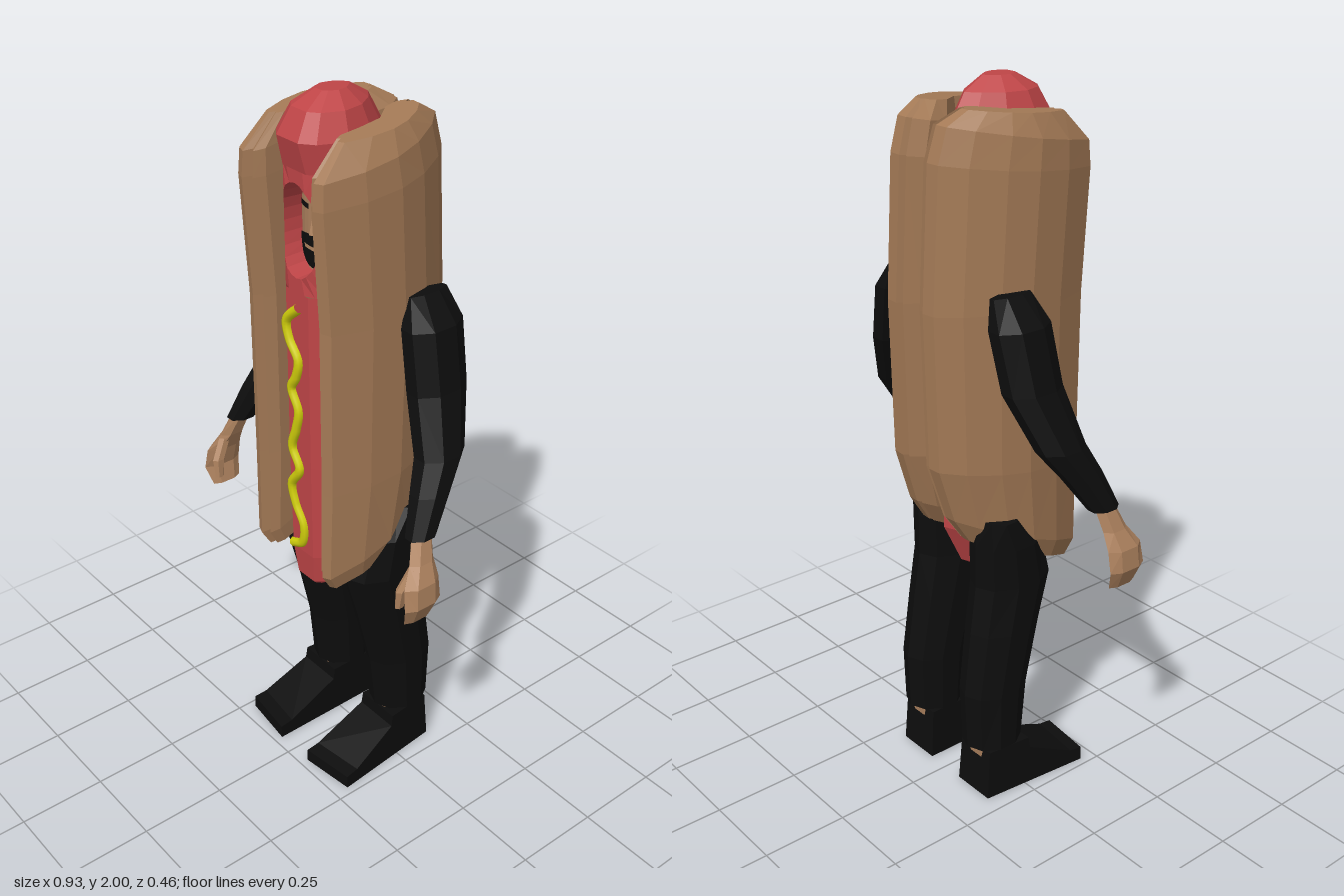
import * as THREE from 'three';

const mat = (name, color, extra = {}) => {
  const m = new THREE.MeshStandardMaterial({ color, flatShading: true, ...extra });
  m.name = name;
  return m;
};

// Skin over a stack of equal-length closed rings of [x, y, z], optionally capped
function loft(rings, { caps = true, skip = () => false } = {}) {
  const pos = [];
  const tri = (...pts) => pts.forEach((p) => pos.push(...p));
  const n = rings[0].length;
  for (let j = 0; j < rings.length - 1; j++) {
    for (let i = 0; i < n; i++) {
      if (skip(i, j)) continue;
      const k = (i + 1) % n;
      const a = rings[j][i], b = rings[j][k], c = rings[j + 1][k], d = rings[j + 1][i];
      tri(a, d, c);
      tri(a, c, b);
    }
  }
  if (caps) {
    const mid = (r) => [0, 1, 2].map((q) => r.reduce((s, p) => s + p[q], 0) / n);
    const lo = rings[0], hi = rings[rings.length - 1];
    for (let i = 0; i < n; i++) {
      const k = (i + 1) % n;
      tri(mid(lo), lo[i], lo[k]);
      tri(mid(hi), hi[k], hi[i]);
    }
  }
  const g = new THREE.BufferGeometry();
  g.setAttribute('position', new THREE.Float32BufferAttribute(pos, 3));
  g.computeVertexNormals();
  return g;
}

// Limb from horizontal ovals: [y, centreX, centreZ, radiusX, radiusZ]
const limb = (rows, sides = 8) => loft(rows.map(([y, cx, cz, rx, rz]) =>
  Array.from({ length: sides }, (_, i) => {
    const a = ((i + 0.5) / sides) * Math.PI * 2;
    return [cx + rx * Math.cos(a), y, cz + rz * Math.sin(a)];
  })));

// One [x, z] outline repeated up the body: rows of [y, slant, scale, shiftZ]
const stack = (outline, cx, cz, rows) => rows.map(([y, slant, s, dz]) =>
  outline.map(([x, z]) => {
    const zz = cz + (z - cz) * s + dz;
    return [cx + (x - cx) * s, y - slant * zz, zz];
  }));

// Mirrored copy of a triangle soup, with corner order restored
function mirrored(geo) {
  const g = geo.clone();
  const p = g.attributes.position;
  for (let i = 0; i < p.count; i += 3) {
    const v = [0, 2, 1].map((k) => new THREE.Vector3().fromBufferAttribute(geo.attributes.position, i + k));
    v.forEach((q, k) => p.setXYZ(i + k, -q.x, q.y, q.z));
  }
  g.computeVertexNormals();
  return g;
}

export function createModel() {
  const model = new THREE.Group();
  model.name = 'hotDogCostume';
  const bunTan = mat('bunTan', 0xa47a56);
  const red = mat('sausageRed', 0xbf4547, { side: THREE.DoubleSide });
  const skin = mat('skin', 0xb08460);
  const black = mat('black', 0x0d0d0d);
  const yellow = mat('mustardYellow', 0xd2d00c, { flatShading: false });

  const add = (name, geo, material) => {
    const m = new THREE.Mesh(geo, material);
    m.name = name;
    model.add(m);
    return m;
  };
  const pair = (name, geo, material) => {
    add('left' + name, geo, material);
    add('right' + name, mirrored(geo), material);
  };

  // Bun halves, with a groove along the front and back lips
  const bunOutline = [
    [0.21, 0], [0.203, 0.1], [0.168, 0.205], [0.14, 0.215], [0.127, 0.19], [0.115, 0.2],
    [0.1, 0.17], [0.1, 0.08], [0.09, -0.03], [0.02, -0.12], [0.012, -0.18], [0.035, -0.222],
    [0.043, -0.2], [0.055, -0.228], [0.095, -0.225], [0.145, -0.17], [0.19, -0.085],
  ];
  pair('Bun', loft(stack(bunOutline, 0.12, 0, [
    [0.745, 0.4, 0.7, 0.04], [0.8, 0.4, 0.87, 0.03], [1.0, 0.1, 0.97, 0.005], [1.45, 0, 1, 0],
    [1.8, 0.12, 1, 0.02], [1.88, 0.18, 0.93, 0.03], [1.935, 0.1, 0.62, 0.02],
  ])), bunTan);

  // Sausage body, left open in front of the face
  const sausageOutline = [
    [0.118, 0.07], [0.085, 0.15], [0.045, 0.18], [-0.045, 0.18], [-0.085, 0.15], [-0.118, 0.07],
    [-0.1, -0.02], [-0.05, -0.09], [0, -0.13], [0.05, -0.09], [0.1, -0.02],
  ];
  add('sausage', loft(stack(sausageOutline, 0, 0.05, [
    [0.615, 0.15, 0.35, 0.05], [0.66, 0.25, 0.75, 0.02], [0.76, 0.3, 0.97, 0], [1.0, 0, 1, 0],
    [1.5, 0, 1, 0], [1.82, 0, 1, 0], [1.9, 0, 0.92, 0.03], [1.965, 0, 0.68, 0.025], [2.0, 0, 0.3, 0.015],
  ]), { skip: (i, j) => j === 4 && i >= 1 && i <= 3 }), red);

  // Collar from the rectangular gap to the oval face opening, then inwards
  const frontZ = (x) => 0.18 - Math.max(0, Math.abs(x) - 0.045) * 0.75;
  const around = (f) => Array.from({ length: 24 }, (_, i) => {
    const a = (i / 24) * Math.PI * 2;
    return f(Math.cos(a), -Math.sin(a));
  });
  const clamp = (v) => THREE.MathUtils.clamp(v * Math.SQRT2, -1, 1);
  add('faceOpening', loft([
    around((c, s) => [0.085 * clamp(c), 1.66 + 0.16 * clamp(s), frontZ(0.085 * clamp(c))]),
    around((c, s) => [0.076 * c, 1.662 + 0.125 * s, frontZ(0.076 * c)]),
    around((c, s) => [0.072 * c, 1.662 + 0.12 * s, 0.09]),
  ], { caps: false }), red);

  // Face: thin curved patches over one another
  const patch = (name, x0, w, top, bottom, lift, material) => {
    const g = new THREE.PlaneGeometry(w, 1, 8, 1);
    const p = g.attributes.position;
    for (let i = 0; i < p.count; i++) {
      const x = p.getX(i) + x0;
      p.setXYZ(i, x, p.getY(i) > 0 ? top(x) : bottom(x), 0.125 - 4 * x * x + lift);
    }
    g.computeVertexNormals();
    add(name, g, material);
  };
  patch('face', 0, 0.17, () => 1.8, () => 1.52, 0, skin);
  patch('beard', 0, 0.13, (x) => 1.638 - 3 * x * x, (x) => 1.55 + 10 * x * x, 0.004, black);
  patch('mouth', 0, 0.064, () => 1.609, () => 1.599, 0.007, skin);
  for (const s of [1, -1]) patch('eyebrow', s * 0.036, 0.044, () => 1.716, () => 1.702, 0.004, black);
  const nose = add('nose', new THREE.ConeGeometry(0.013, 0.05, 4), skin);
  nose.position.set(0, 1.665, 0.126);

  // Mustard squiggle
  const squiggle = [
    [0.01, 1.46], [-0.04, 1.41], [-0.03, 1.36], [0.005, 1.31], [-0.005, 1.26], [-0.026, 1.22],
    [0.002, 1.16], [-0.01, 1.1], [-0.028, 1.04], [0.002, 0.98], [-0.035, 0.92], [-0.022, 0.86],
    [0.01, 0.8], [0, 0.74], [-0.045, 0.715],
  ].map(([x, y]) => new THREE.Vector3(x, y, 0.182 - Math.max(0, 0.95 - y) * 0.03));
  add('mustard', new THREE.TubeGeometry(new THREE.CatmullRomCurve3(squiggle), 80, 0.014, 8), yellow);

  // Arms and hands
  pair('Sleeve', limb([
    [0.94, 0.39, 0.095, 0.035, 0.047], [1.04, 0.362, 0.04, 0.046, 0.062], [1.12, 0.335, -0.01, 0.053, 0.074],
    [1.27, 0.272, -0.052, 0.057, 0.09], [1.43, 0.235, -0.064, 0.055, 0.092], [1.505, 0.205, -0.07, 0.02, 0.065],
  ]), black);
  pair('Hand', limb([
    [0.715, 0.428, 0.135, 0.012, 0.045], [0.77, 0.447, 0.135, 0.018, 0.06], [0.83, 0.437, 0.132, 0.024, 0.058],
    [0.88, 0.415, 0.115, 0.022, 0.04], [0.96, 0.388, 0.092, 0.022, 0.032],
  ], 6), skin);
  pair('Thumb', limb([
    [0.755, 0.402, 0.175, 0.01, 0.014], [0.81, 0.408, 0.172, 0.014, 0.02], [0.87, 0.418, 0.14, 0.014, 0.02],
  ], 6), skin);

  // Trousers and ankles
  pair('Trouser', limb([
    [0.158, 0.133, -0.065, 0.078, 0.088], [0.33, 0.132, -0.06, 0.08, 0.102], [0.52, 0.128, -0.025, 0.086, 0.112],
    [0.66, 0.126, 0.005, 0.088, 0.122], [0.78, 0.126, -0.012, 0.087, 0.105], [0.865, 0.126, -0.055, 0.08, 0.055],
  ], 10), black);
  pair('Ankle', limb([[0.12, 0.133, -0.058, 0.06, 0.07], [0.17, 0.133, -0.06, 0.065, 0.075]]), skin);

  // Shoes: side profile widened towards the toe and narrowed at the top
  const profile = [
    [-0.13, 0], [0.225, 0], [0.225, 0.04], [0.185, 0.045], [0.02, 0.115], [0.015, 0.15], [-0.12, 0.15],
  ].map(([z, y]) => new THREE.Vector2(-z, y));
  const shoe = new THREE.ExtrudeGeometry(new THREE.Shape(profile), { depth: 2, bevelEnabled: false });
  shoe.translate(0, 0, -1).rotateY(Math.PI / 2);
  const sp = shoe.attributes.position;
  for (let i = 0; i < sp.count; i++) {
    const z = sp.getZ(i), y = sp.getY(i), t = THREE.MathUtils.clamp((z + 0.13) / 0.35, 0, 1);
    const side = Math.sign(sp.getX(i));
    sp.setX(i, 0.13 + 0.015 * t + side * (0.066 + 0.016 * t - 0.03 * y));
    sp.setZ(i, z - (z > 0.18 && side > 0 ? 0.02 : 0));
  }
  shoe.computeVertexNormals();
  pair('Shoe', shoe, black);

  return model;
}
